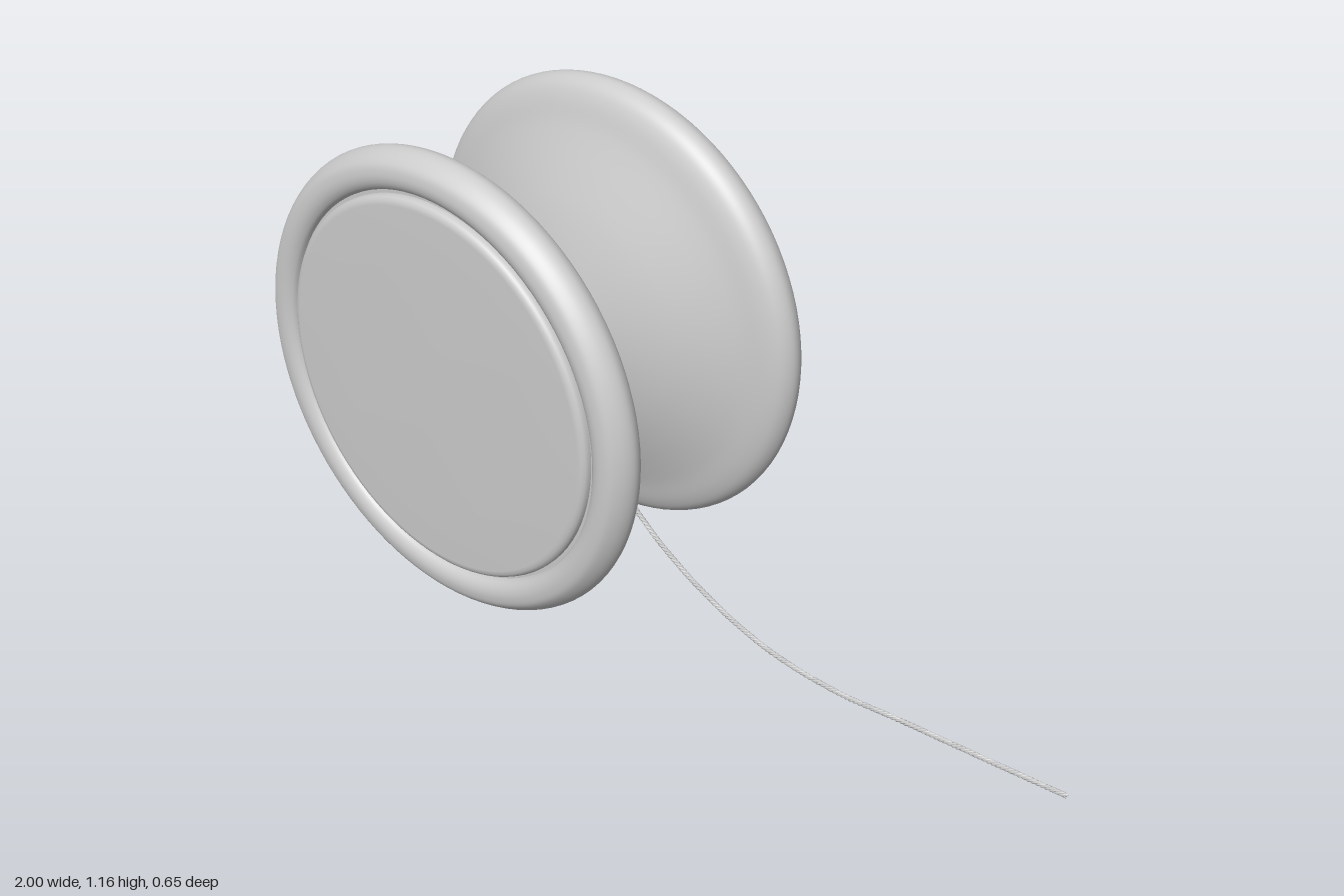
import * as THREE from 'three';

const CX = -0.445, CY = 0.61;

// Smooth lathe around z from [radius, z] pairs, ordered from inner to outer face
function latheZ(points, name, material) {
  const geo = new THREE.LatheGeometry(points.map(([r, z]) => new THREE.Vector2(r, z)), 96);
  geo.rotateX(Math.PI / 2);
  const mesh = new THREE.Mesh(geo, material);
  mesh.name = name;
  return mesh;
}

// Samples a smooth curve through [radius, z] pairs
function smooth(points, n) {
  const curve = new THREE.SplineCurve(points.map(([r, z]) => new THREE.Vector2(r, z)));
  return curve.getPoints(n).map((p) => [p.x, p.y]);
}

export function createModel() {
  const grey = new THREE.MeshStandardMaterial({ color: 0xcccccc });
  grey.name = 'light grey';
  const model = new THREE.Group();
  model.name = 'yoyo';

  const body = new THREE.Group();
  body.name = 'body';
  body.position.set(CX, CY, 0);
  model.add(body);

  // One half: flared inner wall, rounded rim and inset side cap
  function half(name) {
    const g = new THREE.Group();
    g.name = name;
    g.add(latheZ([[0, 0.075], [0.082, 0.075]], 'hubFace', grey));
    g.add(latheZ(smooth([[0.082, 0.075], [0.108, 0.09], [0.14, 0.097], [0.21, 0.114], [0.28, 0.135],
      [0.35, 0.161], [0.42, 0.189], [0.46, 0.204], [0.51, 0.22], [0.54, 0.238], [0.554, 0.265],
      [0.548, 0.292], [0.528, 0.316], [0.505, 0.323], [0.485, 0.321], [0.47, 0.312], [0.464, 0.3]], 80),
      'flaredShell', grey));
    g.add(latheZ([[0.464, 0.3], [0.452, 0.3]], 'groove', grey));
    g.add(latheZ([[0.456, 0.3], [0.456, 0.308], [0.453, 0.315], [0.446, 0.32], [0.436, 0.322],
      [0.3, 0.3245], [0, 0.326]], 'sideCap', grey));
    return g;
  }
  body.add(half('frontHalf'));
  const back = half('backHalf');
  back.rotation.y = Math.PI;
  body.add(back);

  // Axle with a slight waist
  body.add(latheZ(smooth([[0.073, -0.08], [0.072, -0.045], [0.068, -0.015], [0.068, 0.015],
    [0.072, 0.045], [0.073, 0.08]], 20), 'axle', grey));

  // Cord: three twisted strands following one path down to the ground
  const path = new THREE.CatmullRomCurve3([
    [-0.373, 0.615, 0.002], [-0.29, 0.455, 0], [-0.19, 0.32, -0.004], [-0.07, 0.207, -0.008],
    [0.09, 0.11, -0.012], [0.25, 0.048, -0.019], [0.42, 0.017, -0.032], [0.6, 0.012, -0.049],
    [0.8, 0.009, -0.064], [1, 0.007, -0.079],
  ].map((p) => new THREE.Vector3(...p)));
  const N = 300, turns = 50;
  const side = new THREE.Vector3(0, 0, 1);
  const cord = new THREE.Group();
  cord.name = 'cord';
  for (let s = 0; s < 3; s++) {
    const pts = [];
    for (let i = 0; i <= N; i++) {
      const a = (i / N) * turns * Math.PI * 2 + (s * Math.PI * 2) / 3;
      const up = new THREE.Vector3().crossVectors(side, path.getTangentAt(i / N)).normalize();
      pts.push(path.getPointAt(i / N)
        .addScaledVector(side, Math.cos(a) * 0.003)
        .addScaledVector(up, Math.sin(a) * 0.003));
    }
    const strand = new THREE.Mesh(
      new THREE.TubeGeometry(new THREE.CatmullRomCurve3(pts), 600, 0.0034, 6), grey);
    strand.name = 'cordStrand';
    cord.add(strand);
  }
  model.add(cord);
  return model;
}
